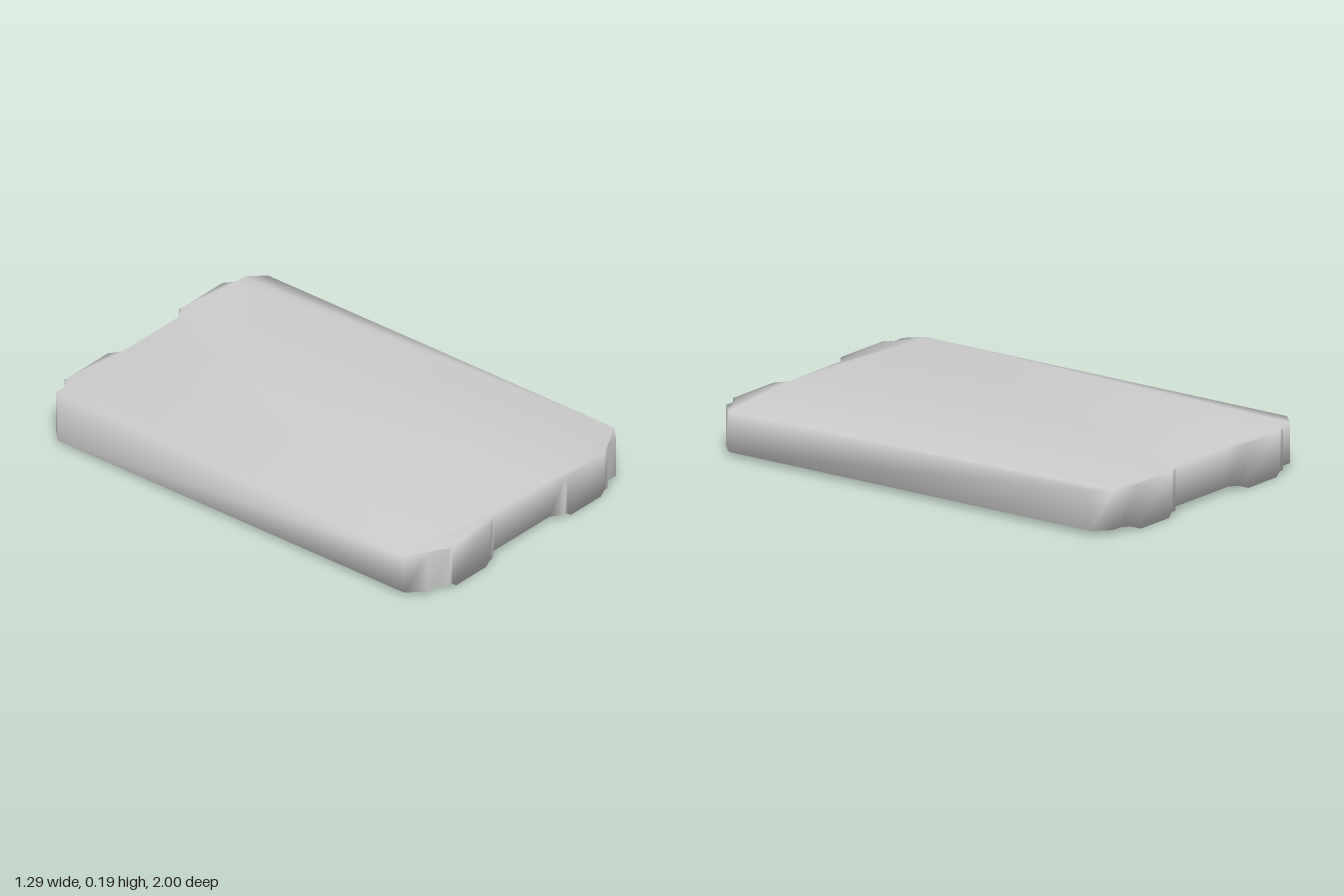
import * as THREE from 'three';

const TOP = 0.187, BASE = 0.02;
const RAIL_IN = 0.24, RAIL_OUT = 0.465, BEVEL = 0.02;

// Right half of the front edge as [x, z]; mirrored for the other three corners
const corner = [[0.17, 0.965], [0.22, 1], [RAIL_IN, 1], [RAIL_OUT, 1],
  [0.485, 1], [0.53, 0.965], [0.58, 0.965], [0.645, 0.9]];
const mirrored = corner.map(([x, z]) => [-x, z]).reverse();
const frontEdge = [...mirrored, ...corner];
const outline = [...frontEdge, ...frontEdge.map(([x, z]) => [x, -z]).reverse()];

function buildSlab() {
  const positions = [], index = [], ids = new Map();

  // Shared vertices give the soft, continuous shading
  const vertex = (x, y, z) => {
    const key = [x, y, z].map((v) => v.toFixed(4)).join();
    if (!ids.has(key)) {
      ids.set(key, positions.length / 3);
      positions.push(x, y, z);
    }
    return ids.get(key);
  };
  const face = (...corners) => {
    const v = corners.map((c) => vertex(...c));
    for (let i = 1; i < v.length - 1; i++) index.push(v[0], v[i], v[i + 1]);
  };
  const panel = (ring, y, up) => {
    const flat = ring.map(([x, z]) => new THREE.Vector2(x, -z));
    for (const [a, b, c] of THREE.ShapeUtils.triangulateShape(flat, [])) {
      const order = up ? [a, b, c] : [a, c, b];
      face(...order.map((i) => [ring[i][0], y, ring[i][1]]));
    }
  };

  // Top and notched side walls
  panel(outline, TOP, true);
  outline.forEach(([x, z], i) => {
    const [x2, z2] = outline[(i + 1) % outline.length];
    face([x, BASE, z], [x2, BASE, z2], [x2, TOP, z2], [x, TOP, z]);
  });

  // Underside on both sides of the rails and between them
  panel(outline.filter(([x]) => x >= RAIL_OUT), BASE, false);
  panel(outline.filter(([x]) => Math.abs(x) <= RAIL_IN), BASE, false);
  panel(outline.filter(([x]) => x <= -RAIL_OUT), BASE, false);

  // Two bevelled rails running the full length
  for (const [l, r] of [[RAIL_IN, RAIL_OUT], [-RAIL_OUT, -RAIL_IN]]) {
    const section = [[l, BASE], [l + BEVEL, 0], [r - BEVEL, 0], [r, BASE]];
    for (let i = 0; i < 3; i++) {
      const a = section[i], b = section[i + 1];
      face([...a, 1], [...a, -1], [...b, -1], [...b, 1]);
    }
    face(...section.map((p) => [...p, 1]));
    face(...section.map((p) => [...p, -1]).reverse());
  }

  const geometry = new THREE.BufferGeometry();
  geometry.setAttribute('position', new THREE.Float32BufferAttribute(positions, 3));
  geometry.setIndex(index);
  geometry.computeVertexNormals();
  return geometry;
}

export function createModel() {
  const group = new THREE.Group();
  group.name = 'railedSlab';
  const slab = new THREE.Mesh(buildSlab(), new THREE.MeshStandardMaterial({ color: 0xcccccc }));
  slab.name = 'slabWithRails';
  group.add(slab);
  return group;
}
